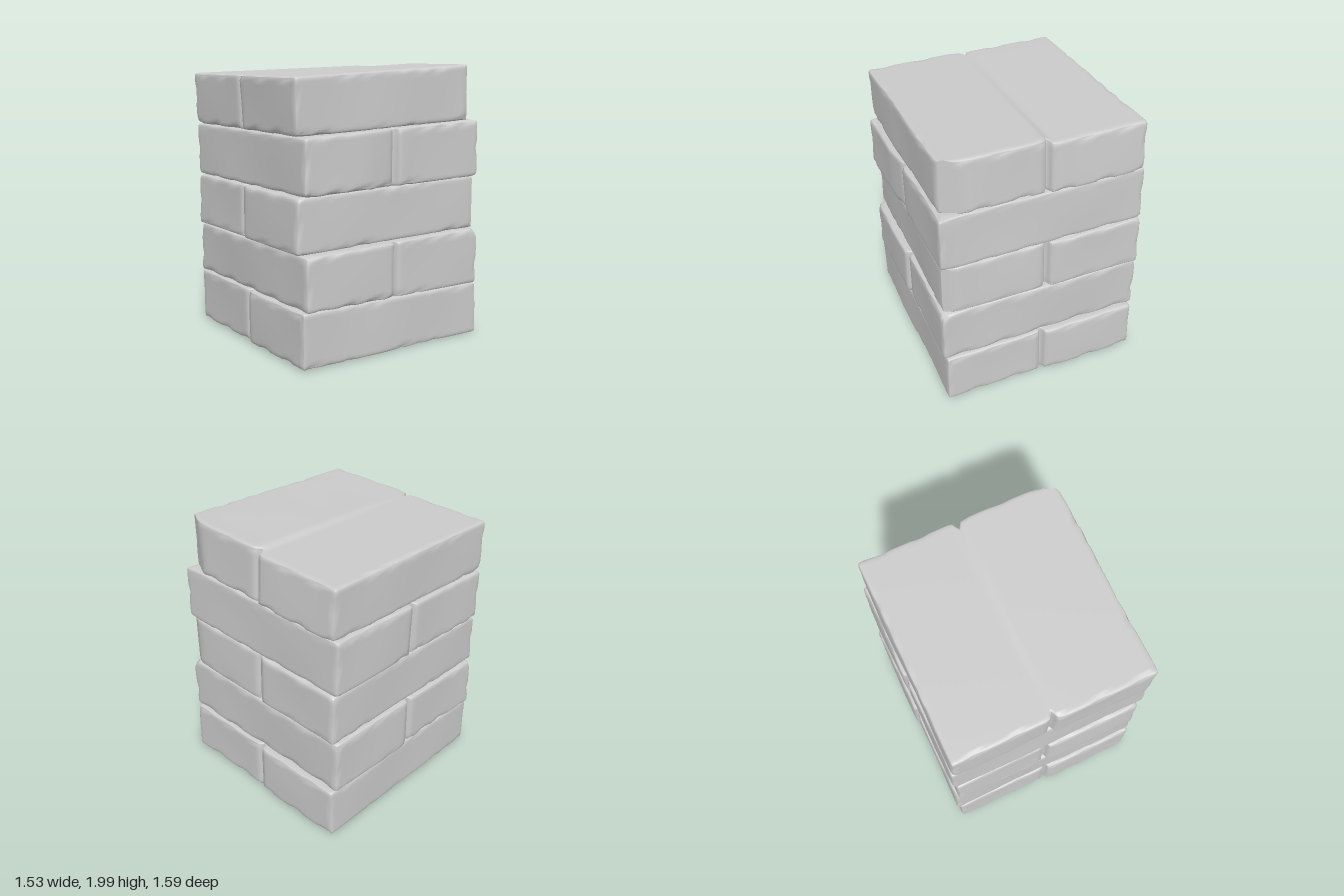
import * as THREE from 'three';
import { mergeVertices } from 'three/addons/utils/BufferGeometryUtils.js';

const H = [0.74, 0.19, 0.75]; // nominal half sizes of one course
const R = 0.022; // worn edge radius

// Each course: split axis, seam offset, x at [front, back] for both sides, z of the ends
// at [bottom, top], y as [bottom, top] at front and back, height step between the halves,
// and cut planes [nx, ny, nz, distance] for broken corners.
const courses = [
  { split: 'x', seam: 0, low: [-0.74, -0.74], high: [0.73, 0.74], front: [0.745, 0.75], back: [-0.785, -0.78],
    yFront: [0.012, 0.4], yBack: [0.004, 0.387], step: 0, cuts: [] },
  { split: 'z', seam: 0.01, low: [-0.765, -0.755], high: [0.745, 0.76], front: [0.73, 0.74], back: [-0.755, -0.76],
    yFront: [0.4, 0.775], yBack: [0.392, 0.805], step: 0, cuts: [[0.6, 0.64, -0.48, 1.29]] },
  { split: 'x', seam: -0.02, low: [-0.74, -0.745], high: [0.695, 0.74], front: [0.765, 0.76], back: [-0.775, -0.765],
    yFront: [0.78, 1.158], yBack: [0.815, 1.198], step: 0, cuts: [[0.5, 0, -0.87, 0.985]] },
  { split: 'z', seam: 0, low: [-0.762, -0.75], high: [0.742, 0.752], front: [0.745, 0.745], back: [-0.755, -0.745],
    yFront: [1.163, 1.545], yBack: [1.192, 1.602], step: 0, cuts: [], dent: true },
  { split: 'x', seam: -0.015, low: [-0.742, -0.735], high: [0.705, 0.725], front: [0.765, 0.785], back: [-0.76, -0.735],
    yFront: [1.55, 1.928], yBack: [1.605, 1.985], step: 0.012, cuts: [[0.45, 0, -0.89, 0.905]] },
];

const lerp = THREE.MathUtils.lerp;
const clamp = THREE.MathUtils.clamp;
const tri = (d, w) => Math.max(0, 1 - Math.abs(d) / w);

// Grid lines along one axis: evenly spaced, closer at the edges, plus extra lines for a seam
function gridLines(h, n, seam) {
  const lines = [];
  for (let i = 1; i < n; i++) lines.push(lerp(-h, h, i / n));
  for (const e of [0, 0.35, 1, 1.7]) lines.push(h - e * R, -h + e * R);
  const kept = seam ? lines.filter((v) => Math.abs(v) > 0.07) : lines;
  if (seam) kept.push(-0.06, -0.028, -0.016, 0, 0.016, 0.028, 0.06);
  return kept.sort((a, b) => a - b);
}

// Smooth repeatable unevenness
const wave = (x, y, z, f, s) =>
  Math.sin(x * f + s * 1.7 + 2 * Math.sin(z * f * 0.6 + s)) * Math.cos(y * f * 1.3 + z * f * 0.8 + s * 2.3);

function courseGeometry(c, seed) {
  const u = c.split === 'x' ? 0 : 2;
  const v = 2 - u;
  const lines = H.map((h, i) => gridLines(h, i === 1 ? 6 : 30, i === u));
  const geo = new THREE.BoxGeometry(1, 1, 1, ...lines.map((l) => l.length - 1));
  const pos = geo.attributes.position;

  for (let i = 0; i < pos.count; i++) {
    const p = [pos.getX(i), pos.getY(i), pos.getZ(i)].map((q, a) => lines[a][Math.round((q + 0.5) * (lines[a].length - 1))]);

    // Ragged, rounded edges
    const nearEdge = p.filter((q, a) => Math.abs(q) > H[a] - R * 1.2).length > 1;
    const inner = p.map((q, a) => clamp(q, -H[a] + R, H[a] - R));
    const off = p.map((q, a) => q - inner[a]);
    const len = Math.hypot(...off) || 1;
    const chip = nearEdge ? Math.max(0, wave(p[0], p[1], p[2], 21, seed)) * 0.011 : 0;
    for (let a = 0; a < 3; a++) p[a] = inner[a] + (off[a] / len) * (R - chip);

    // Joint between the two blocks, cut into both end faces
    const end = clamp((Math.abs(p[v]) - H[v] + 0.13) / 0.13, 0, 1);
    const sign = Math.sign(p[v]);
    let depth = 0.05 * tri(p[u], 0.028) + 0.008 * tri(p[u], 0.06);
    if (c.dent && sign > 0 && p[u] > 0) depth += 0.03 * tri(p[u] - 0.02, 0.22);
    p[v] -= sign * depth * end;

    // Skew the block to its measured corners
    const half = clamp(p[u] / 0.028, -1, 1);
    p[u] += c.seam * (1 - Math.abs(p[u]) / H[u]);
    const [fx, fy, fz] = p.map((q, a) => (q / H[a] + 1) / 2);
    let x = lerp(lerp(c.low[1], c.low[0], fz), lerp(c.high[1], c.high[0], fz), fx);
    let z = lerp(lerp(c.back[0], c.back[1], fy), lerp(c.front[0], c.front[1], fy), fz);
    let y = lerp(lerp(c.yBack[0], c.yFront[0], fz), lerp(c.yBack[1], c.yFront[1], fz), fy);
    y += c.step * half * fy * (1 - fz);
    if (u === 0) z += 0.009 * half * end;
    else x += 0.005 * half * end;

    // Gentle bulges on the outer faces
    x += 0.005 * wave(y, z, x, 5, seed) * Math.abs(2 * fx - 1);
    z += 0.005 * wave(x, y, z, 5, seed + 4) * Math.abs(2 * fz - 1);

    // Broken corners
    for (const [nx, ny, nz, d] of c.cuts) {
      const over = nx * x + ny * y + nz * z - d;
      if (over > 0) {
        x -= nx * over;
        y -= ny * over;
        z -= nz * over;
      }
    }
    pos.setXYZ(i, x, Math.max(0, y), z);
  }

  geo.deleteAttribute('uv');
  geo.deleteAttribute('normal');
  const merged = mergeVertices(geo, 1e-5);
  merged.computeVertexNormals();
  return merged;
}

export function createModel() {
  const model = new THREE.Group();
  model.name = 'stonePillar';
  const stone = new THREE.MeshStandardMaterial({ color: 0xcccccc });
  courses.forEach((c, i) => {
    const mesh = new THREE.Mesh(courseGeometry(c, i + 1), stone);
    mesh.name = `stoneCourse${i + 1}`;
    model.add(mesh);
  });
  return model;
}
